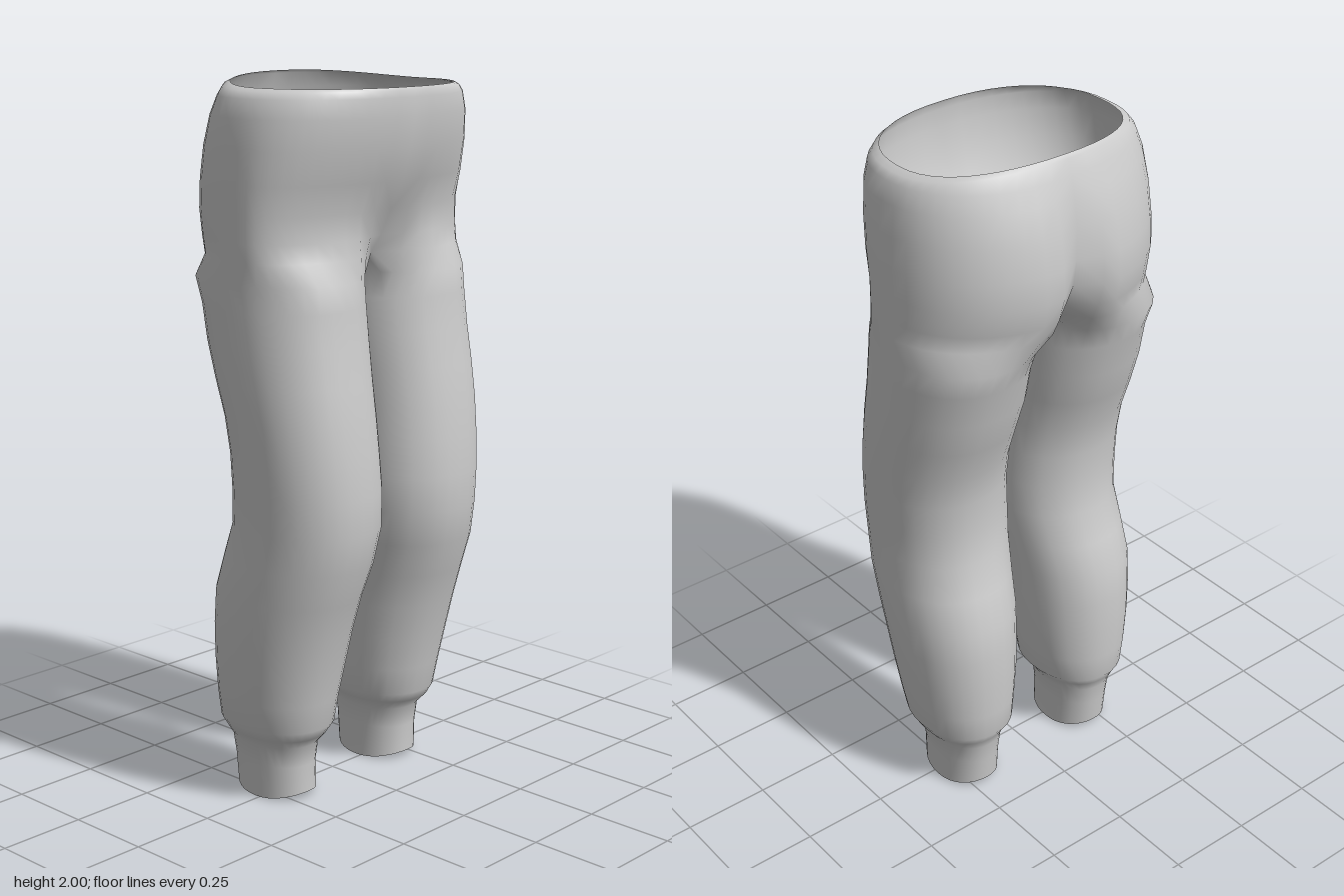
import * as THREE from 'three';
import { mergeVertices } from 'three/addons/utils/BufferGeometryUtils.js';

const OUTER = 24, INNER = 10, RING = OUTER + INNER; // segments round each leg

// Leg cross-sections from cuff to thigh: y, inner x, outer x, front z, back z
const LEG = [
  [0.02, 0.12, 0.30, 0.105, -0.14], [0.10, 0.12, 0.303, 0.105, -0.148],
  [0.16, 0.112, 0.312, 0.112, -0.155], [0.19, 0.095, 0.335, 0.14, -0.165],
  [0.22, 0.072, 0.352, 0.158, -0.183], [0.30, 0.062, 0.366, 0.172, -0.187],
  [0.40, 0.05, 0.378, 0.195, -0.19], [0.50, 0.043, 0.386, 0.22, -0.188],
  [0.60, 0.035, 0.391, 0.25, -0.18], [0.70, 0.024, 0.389, 0.285, -0.15],
  [0.80, 0.012, 0.384, 0.302, -0.118], [0.90, 0.01, 0.39, 0.303, -0.112],
  [1.00, 0.014, 0.395, 0.296, -0.113], [1.10, 0.015, 0.399, 0.286, -0.13],
  [1.20, 0.012, 0.402, 0.272, -0.165], [1.30, 0.005, 0.403, 0.256, -0.197],
  [1.40, 0.003, 0.403, 0.244, -0.217], [1.47, 0.002, 0.403, 0.239, -0.245],
];

// Hip cross-sections from crotch to waist: y, outer x, front z, back z, front crease, back crease
const HIPS = [
  [1.53, 0.403, 0.235, -0.272, 0.09, 0.13], [1.58, 0.403, 0.226, -0.288, 0.045, 0.085],
  [1.65, 0.403, 0.226, -0.303, 0.012, 0.055], [1.73, 0.402, 0.258, -0.298, 0, 0.04],
  [1.82, 0.396, 0.285, -0.282, 0, 0.025], [1.90, 0.386, 0.298, -0.255, 0, 0.01],
  [1.95, 0.37, 0.298, -0.232, 0, 0], [1.968, 0.352, 0.296, -0.218, 0, 0],
  [1.976, 0.33, 0.292, -0.206, 0, 0],
];

const power = (v, n) => Math.sign(v) * Math.abs(v) ** (2 / n);

function legRing([y, xi, xo, zf, zb], first) {
  const cx = (xi + xo) / 2, cz = (zf + zb) / 2;
  return Array.from({ length: RING }, (_, j) => {
    const a = j <= OUTER
      ? Math.PI * (0.75 - 1.5 * j / OUTER)
      : Math.PI * (-0.75 - 0.5 * (j - OUTER) / INNER);
    const dip = first ? 0.02 * Math.cos(a) ** 2 : 0; // cuff hem is lower at the sides
    return [cx + (xo - xi) / 2 * power(Math.cos(a), 2.15), y - dip,
      cz + (zf - zb) / 2 * power(Math.sin(a), 2.15)];
  });
}

function hipRing([y, xo, zf, zb, creaseF, creaseB], i) {
  const cz = 0.04;
  const ring = Array.from({ length: OUTER + 1 }, (_, j) => {
    const a = Math.PI * (0.5 - j / OUTER);
    const x = j % OUTER === 0 ? 0 : xo * power(Math.cos(a), 2.25);
    const s = power(Math.sin(a), 2.25);
    let z = cz + (s > 0 ? (zf - cz) : (cz - zb)) * s;
    z += s > 0 ? -creaseF * Math.exp(-((x / 0.08) ** 2)) : creaseB * Math.exp(-((x / 0.05) ** 2));
    const rise = y > 1.96 ? 0.024 * Math.max(0, -s) ** 2 : 0; // waist is higher at the back
    return [x, y + rise, z];
  });
  // Crotch seam closes the lowest ring between the legs
  if (i === 0) {
    const f = ring[0][2], b = ring[OUTER][2];
    for (let k = 1; k < INNER; k++) {
      const t = k / INNER;
      ring.push([0, y - 0.02 * Math.sin(Math.PI * t), b + (f - b) * t]);
    }
  }
  return ring;
}

function createTrousers() {
  const rings = [...LEG.map((r, i) => legRing(r, i === 0)), ...HIPS.map(hipRing)];
  const positions = [], index = [];
  // Both halves share the centre line, welded below
  for (const side of [1, -1]) {
    const starts = rings.map((ring) => {
      const start = positions.length / 3;
      for (const [x, y, z] of ring) positions.push(side * x, y, z);
      return start;
    });
    for (let i = 0; i < rings.length - 1; i++) {
      const count = i < LEG.length ? RING : OUTER; // hips are open on the inside
      for (let j = 0; j < count; j++) {
        const k = count === RING ? (j + 1) % RING : j + 1;
        const a = starts[i] + j, b = starts[i] + k, c = starts[i + 1] + k, d = starts[i + 1] + j;
        if (side > 0) index.push(a, b, c, a, c, d);
        else index.push(a, c, b, a, d, c);
      }
    }
  }
  let geometry = new THREE.BufferGeometry();
  geometry.setAttribute('position', new THREE.Float32BufferAttribute(positions, 3));
  geometry.setIndex(index);
  geometry = mergeVertices(geometry, 1e-5);
  geometry.computeVertexNormals();
  return geometry;
}

export function createModel() {
  const fabric = new THREE.MeshStandardMaterial({ color: 0xcccccc, side: THREE.DoubleSide });
  fabric.name = 'light grey fabric';
  const trousers = new THREE.Mesh(createTrousers(), fabric);
  trousers.name = 'trousers';
  const model = new THREE.Group();
  model.name = 'trousersModel';
  model.add(trousers);
  return model;
}
